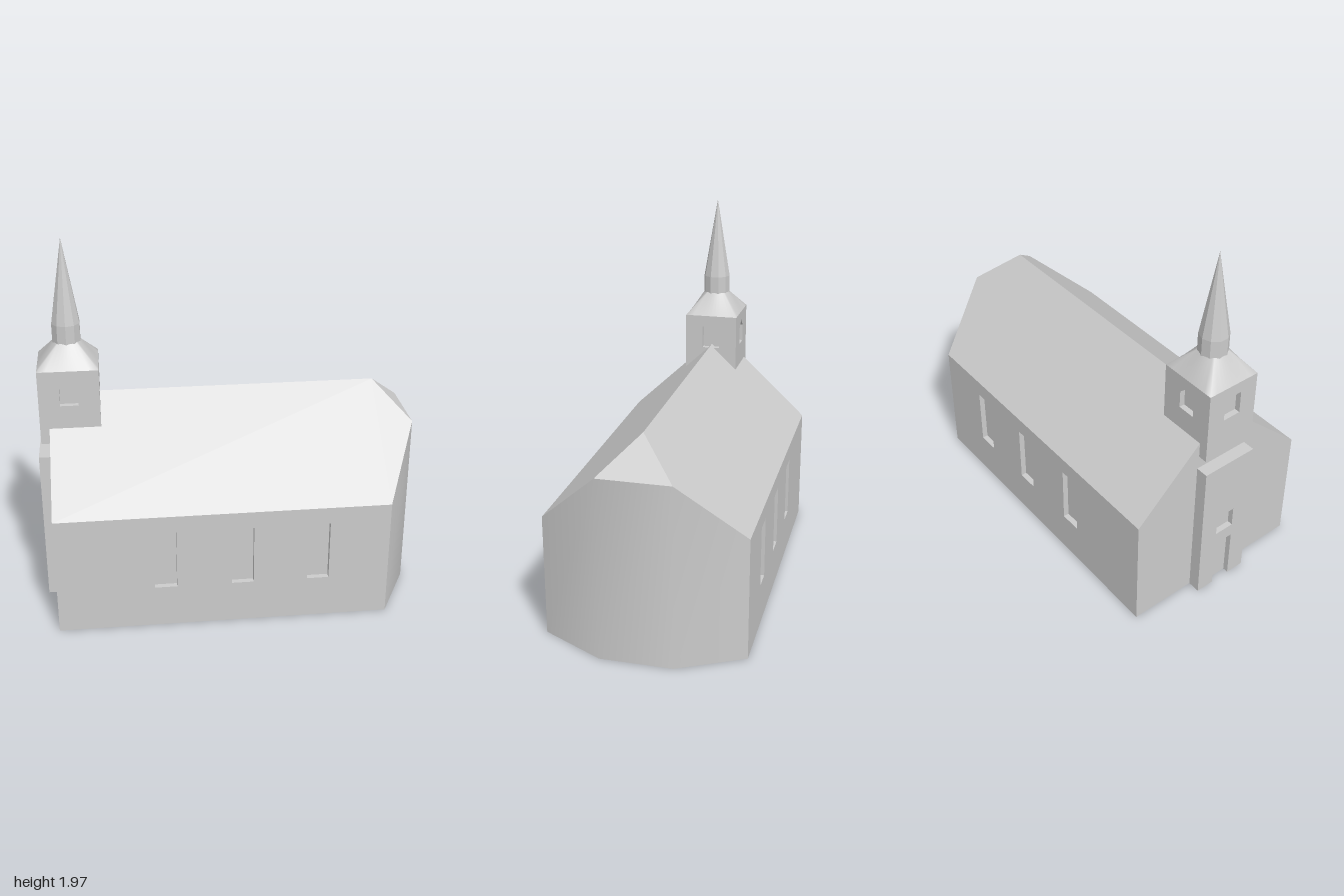
import * as THREE from 'three';

const HALF = 0.52, WEST = -0.924, EAST = 0.813, APSE = 0.986, APSE_HALF = 0.188;
const EAVE = 0.647, RIDGE = 1.135, RIDGE_END = 0.8, RECESS = 0.03;
const APSE_TOP = EAVE + (RIDGE - EAVE) * (HALF - APSE_HALF) / HALF;

const stone = new THREE.MeshStandardMaterial({ color: 0xcccccc, side: THREE.DoubleSide });
stone.name = 'pale stone';

function add(parent, name, geometry, x = 0, y = 0, z = 0, turn = 0) {
  const mesh = new THREE.Mesh(geometry, stone);
  mesh.name = name;
  mesh.position.set(x, y, z);
  mesh.rotation.y = turn;
  parent.add(mesh);
  return mesh;
}

const outline = (points) => new THREE.Shape(points.map(([x, y]) => new THREE.Vector2(x, y)));
const rect = (x, w, y0, y1) => [[x - w / 2, y0], [x + w / 2, y0], [x + w / 2, y1], [x - w / 2, y1]];
const pointed = (x, w, y0, y1, peak) => [
  [x - w / 2, y0], [x + w / 2, y0], [x + w / 2, y1], [x, peak], [x - w / 2, y1]];

// Wall slab with openings; its outer face lies at z = 0
function wall(points, openings) {
  const shape = outline(points);
  shape.holes = openings.map(outline);
  const g = new THREE.ExtrudeGeometry(shape, { depth: RECESS, bevelEnabled: false });
  return g.translate(0, 0, -RECESS);
}

function faces(points, index, flat) {
  let g = new THREE.BufferGeometry();
  g.setAttribute('position', new THREE.Float32BufferAttribute(points.flat(), 3));
  g.setIndex(index);
  if (flat) g = g.toNonIndexed();
  g.computeVertexNormals();
  return g;
}

function buildNave(church) {
  // Long walls with three recessed windows each
  const windows = [-0.361, 0.04, 0.438];
  const mid = (WEST + EAST) / 2, length = EAST - WEST;
  for (const side of [1, -1]) {
    const openings = windows.map((x) => rect(side * (x - mid), 0.116, 0.23, 0.555));
    add(church, 'longWall', wall(rect(0, length, 0, EAVE), openings),
      mid, 0, side * HALF, side > 0 ? 0 : Math.PI);
    for (const x of windows) {
      add(church, 'windowPane', new THREE.BoxGeometry(0.13, 0.34, 0.008), x, 0.3925, side * (HALF - RECESS - 0.004));
    }
  }

  // Entrance gable
  add(church, 'gableWall', new THREE.ShapeGeometry(
    outline([[-HALF, 0], [HALF, 0], [HALF, EAVE], [0, RIDGE], [-HALF, EAVE]])), WEST, 0, 0, -Math.PI / 2);

  // Three-sided apse, softly shaded around its corners
  const columns = [[EAST, HALF, EAVE], [APSE, APSE_HALF, APSE_TOP], [APSE, -APSE_HALF, APSE_TOP], [EAST, -HALF, EAVE]];
  const points = [], index = [];
  columns.forEach(([x, z, top], i) => {
    points.push([x, 0, z], [x, top, z]);
    const a = 2 * i;
    if (i < 3) index.push(a, a + 2, a + 3, a, a + 3, a + 1);
  });
  add(church, 'apseWall', faces(points, index, false));

  // Roof slopes and the small hip over the apse
  add(church, 'naveRoof', faces([
    [WEST, EAVE, HALF], [EAST, EAVE, HALF], [APSE, APSE_TOP, APSE_HALF], [RIDGE_END, RIDGE, 0], [WEST, RIDGE, 0],
    [APSE, APSE_TOP, -APSE_HALF], [EAST, EAVE, -HALF], [WEST, EAVE, -HALF],
  ], [0, 1, 3, 0, 3, 4, 1, 2, 3, 2, 5, 3, 5, 6, 3, 6, 7, 3, 7, 4, 3], true));

  // Underside
  const base = new THREE.ShapeGeometry(outline([
    [WEST, HALF], [EAST, HALF], [APSE, APSE_HALF], [APSE, -APSE_HALF], [EAST, -HALF], [WEST, -HALF]]));
  add(church, 'floor', base.rotateX(Math.PI / 2));
}

function buildPorch(church) {
  // Shallow entrance bay with a doorway notch and a window above
  const front = -0.99, top = 0.835, half = 0.156, door = 0.055;
  const coreDepth = WEST - front - RECESS;
  add(church, 'porchCore', new THREE.BoxGeometry(coreDepth, top, 2 * half), WEST - coreDepth / 2, top / 2, 0);
  add(church, 'porchFront', wall([
    [-half, 0], [-door, 0], [-door, 0.29], [door, 0.29], [door, 0], [half, 0], [half, top], [-half, top],
  ], [rect(0, 0.11, 0.365, 0.48)]), front, 0, 0, -Math.PI / 2);
}

function buildTower(church) {
  const tower = new THREE.Group();
  tower.name = 'tower';
  tower.position.x = -0.815;
  church.add(tower);
  const hx = 0.157, hz = 0.149, low = 0.91, high = 1.31;

  // Belfry: solid core behind four pierced walls
  add(tower, 'belfryCore', new THREE.BoxGeometry(2 * (hx - RECESS), high - low, 2 * (hz - RECESS)), 0, (low + high) / 2, 0);
  for (const side of [1, -1]) {
    add(tower, 'belfrySideWall', wall(rect(0, 2 * hx, low, high), [pointed(0, 0.095, 1.12, 1.215, 1.26)]),
      0, 0, side * hz, side > 0 ? 0 : Math.PI);
    add(tower, 'belfryEndWall', wall(rect(0, 2 * (hz - RECESS), low, high), [rect(0, 0.1, 1.12, 1.245)]),
      side * hx, 0, 0, side * Math.PI / 2);
  }

  // Roof blending from the square belfry to the round collar
  const n = 40, points = [], index = [];
  for (let i = 0; i < n; i++) {
    const a = (i / n) * Math.PI * 2, s = Math.sin(a), c = Math.cos(a);
    const k = 1 / Math.max(Math.abs(s), Math.abs(c));
    points.push([s * k * hx, high, c * k * hz], [s * 0.07, 1.43, c * 0.07]);
    const p = 2 * i, q = 2 * ((i + 1) % n);
    index.push(p, q, q + 1, p, q + 1, p + 1);
  }
  add(tower, 'belfryRoof', faces(points, index, false));

  // Faceted collar and spire
  const collar = new THREE.CylinderGeometry(0.075, 0.075, 0.11, 10).toNonIndexed();
  const spire = new THREE.ConeGeometry(0.075, 0.443, 10).toNonIndexed();
  collar.computeVertexNormals();
  spire.computeVertexNormals();
  add(tower, 'collar', collar, 0, 1.467, 0);
  add(tower, 'spire', spire, 0, 1.522 + 0.443 / 2, 0);
}

export function createModel() {
  const model = new THREE.Group();
  model.name = 'church';
  const church = new THREE.Group();
  church.name = 'building';
  church.rotation.y = 0.075;
  church.position.z = -0.007;
  model.add(church);
  buildNave(church);
  buildPorch(church);
  buildTower(church);
  return model;
}
